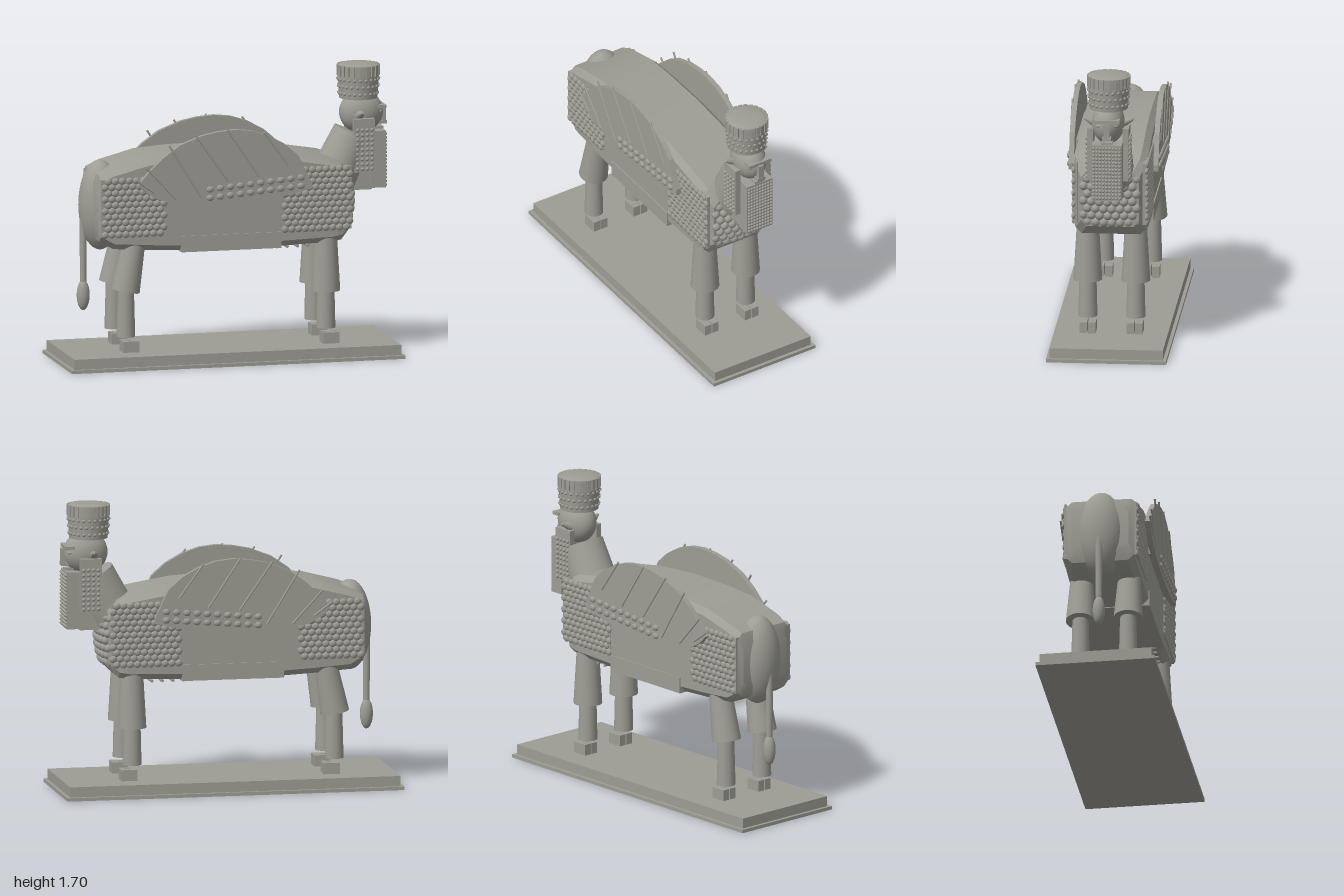
import * as THREE from 'three';
import { mergeGeometries, toCreasedNormals } from 'three/addons/utils/BufferGeometryUtils.js';

export function createModel() {
  const model = new THREE.Group();
  const stone = new THREE.MeshStandardMaterial({ color: 0x9e9d94 });
  stone.name = 'grey stone';

  const add = (name, geo, x = 0, y = 0, z = 0) => {
    const mesh = new THREE.Mesh(geo, stone);
    mesh.name = name;
    mesh.position.set(x, y, z);
    model.add(mesh);
    return mesh;
  };
  // Box given by its limits on each axis
  const block = (name, x0, x1, y0, y1, z0, z1) =>
    add(name, new THREE.BoxGeometry(x1 - x0, y1 - y0, z1 - z0), (x0 + x1) / 2, (y0 + y1) / 2, (z0 + z1) / 2);
  const ball = (name, x, y, z, rx, ry, rz) =>
    add(name, new THREE.SphereGeometry(1, 32, 20).scale(rx, ry, rz), x, y, z);
  // Tapered cylinder between two points
  const rod = (name, a, b, ra, rb, sides = 28) => {
    const p = new THREE.Vector3(...a), q = new THREE.Vector3(...b);
    const d = q.clone().sub(p);
    const mesh = add(name, new THREE.CylinderGeometry(rb, ra, d.length(), sides));
    mesh.position.copy(p).add(q).multiplyScalar(0.5);
    mesh.quaternion.setFromUnitVectors(new THREE.Vector3(0, 1, 0), d.normalize());
    return mesh;
  };
  // Many small flattened balls joined in one mesh
  const beads = (name, points, rx, ry, rz) =>
    add(name, mergeGeometries(points.map((p) =>
      new THREE.SphereGeometry(1, 10, 6).scale(rx, ry, rz).translate(...p))));
  // Staggered rows over a rectangle, mapped to space by place(u, v)
  const rows = (u0, u1, v0, v1, cols, count, place, stagger = true) => {
    const points = [], step = (u1 - u0) / (cols - (stagger ? 0.5 : 1));
    for (let j = 0; j < count; j++) {
      for (let i = 0; i < cols; i++) {
        const shift = stagger && j % 2 ? 0.5 : 0;
        points.push(place(u0 + (i + shift) * step, v0 + (j * (v1 - v0)) / (count - 1)));
      }
    }
    return points;
  };

  // Stepped plinth
  block('plinthFoot', -1, 1, 0, 0.02, -0.35, 0.35);
  block('plinth', -0.98, 0.98, 0.02, 0.08, -0.33, 0.33);

  // Body lofted from chamfered sections: x, half width, bottom, top
  const sections = [
    [-0.81, 0.17, 0.80, 1.07], [-0.79, 0.2, 0.74, 1.13], [-0.71, 0.21, 0.695, 1.165],
    [-0.5, 0.212, 0.68, 1.22], [-0.3, 0.212, 0.67, 1.235], [0, 0.212, 0.67, 1.24],
    [0.3, 0.212, 0.67, 1.22], [0.6, 0.212, 0.68, 1.17], [0.66, 0.205, 0.69, 1.145], [0.72, 0.17, 0.75, 1.08],
  ];
  const verts = [], index = [], ring = 8;
  sections.forEach(([x, w, b, t]) => {
    const c = 0.035;
    [[w, b + c], [w, t - c], [w - c, t], [c - w, t], [-w, t - c], [-w, b + c], [c - w, b], [w - c, b]]
      .forEach(([z, y]) => verts.push(x, y, z));
  });
  for (let s = 0; s < sections.length - 1; s++) {
    for (let i = 0; i < ring; i++) {
      const a = s * ring + i, b = s * ring + ((i + 1) % ring);
      index.push(a, a + ring, b, b, a + ring, b + ring);
    }
  }
  const last = (sections.length - 1) * ring;
  for (let i = 1; i < ring - 1; i++) {
    index.push(0, i, i + 1, last, last + i + 1, last + i);
  }
  const bodyGeo = new THREE.BufferGeometry();
  bodyGeo.setAttribute('position', new THREE.Float32BufferAttribute(verts, 3));
  bodyGeo.setIndex(index);
  add('body', toCreasedNormals(bodyGeo, 0.45));
  block('bellyBand', -0.31, 0.29, 0.665, 0.76, -0.219, 0.219);
  for (let i = 0; i < 4; i++) {
    const x = 0.275 + i * 0.062;
    rod('bellyRib', [x, 0.662, -0.17], [x, 0.662, 0.17], 0.009, 0.009, 8);
  }

  // Rump and tail
  ball('rump', -0.745, 0.93, 0, 0.125, 0.265, 0.14);
  rod('tail', [-0.845, 0.48, 0], [-0.845, 0.9, 0], 0.019, 0.022, 16);
  ball('tailTuft', -0.845, 0.4, 0, 0.038, 0.09, 0.036);

  // Chest curls
  const chest = rows(-0.155, 0.155, 0.775, 1.035, 7, 7,
    (z, y) => [0.748 - 1.2 * (y - 0.92) ** 2 - 1.1 * z * z, y, z]);
  ball('chest', 0.59, 0.91, 0, 0.155, 0.22, 0.2);
  beads('chestCurls', chest, 0.025, 0.026, 0.026);

  // Neck and beard
  rod('neck', [0.655, 1.03, 0], [0.78, 1.285, 0], 0.14, 0.125);
  block('throat', 0.72, 0.87, 0.96, 1.25, -0.075, 0.075);
  block('beard', 0.86, 0.95, 0.97, 1.305, -0.088, 0.088);
  beads('beardCurls', rows(-0.076, 0.076, 0.985, 1.285, 9, 15, (z, y) => [0.951, y, z], false),
    0.009, 0.009, 0.009);

  // Head and face
  ball('head', 0.822, 1.41, 0, 0.13, 0.125, 0.095);
  block('brow', 0.9, 0.955, 1.435, 1.455, -0.075, 0.075);
  block('nose', 0.92, 0.968, 1.345, 1.437, -0.018, 0.018);
  block('noseTip', 0.925, 0.97, 1.335, 1.355, -0.026, 0.026);
  block('mouth', 0.9, 0.95, 1.308, 1.322, -0.033, 0.033);

  // Tall cap with studs and a feathered rim
  const capX = 0.805;
  add('cap', new THREE.CylinderGeometry(0.121, 0.112, 0.13, 36), capX, 1.56, 0);
  add('capRim', new THREE.CylinderGeometry(0.12, 0.118, 0.07, 36), capX, 1.655, 0);
  ball('capTop', capX, 1.687, 0, 0.115, 0.016, 0.115);
  const studs = [], feathers = [];
  [1.525, 1.567, 1.608].forEach((y, j) => {
    for (let i = 0; i < 22; i++) {
      const a = ((i + (j % 2) / 2) / 22) * Math.PI * 2, r = 0.113 + j * 0.003;
      studs.push([capX + Math.cos(a) * r, y, Math.sin(a) * r]);
    }
  });
  for (let i = 0; i < 24; i++) {
    feathers.push(new THREE.BoxGeometry(0.014, 0.062, 0.022).translate(0.119, 1.66, 0)
      .rotateY((i / 24) * Math.PI * 2).translate(capX, 0, 0));
  }
  beads('capStuds', studs, 0.01, 0.01, 0.01);
  add('capFeathers', mergeGeometries(feathers));

  // Wing outline, raised ribs as [top x, top y, bottom x, bottom y]
  const wing = new THREE.Shape([
    [-0.58, 1.08], [-0.53, 1.03], [-0.45, 0.985], [-0.3, 0.96], [-0.1, 0.95], [0.1, 0.957], [0.3, 0.98],
    [0.46, 1.015], [0.46, 1.05], [0.42, 1.13], [0.38, 1.215], [0.3, 1.285], [0.2, 1.34], [0.1, 1.372],
    [0, 1.383], [-0.1, 1.375], [-0.2, 1.355], [-0.33, 1.305], [-0.43, 1.235], [-0.52, 1.15],
  ].map(([x, y]) => new THREE.Vector2(x, y)));
  const ribs = [
    [-0.59, 1.11, -0.48, 1.03], [-0.53, 1.18, -0.355, 0.99], [-0.395, 1.305, -0.2, 0.99],
    [-0.235, 1.36, -0.04, 1.08], [-0.045, 1.385, 0.145, 1.10], [0.175, 1.36, 0.32, 1.16],
  ];

  for (const s of [1, -1]) {
    const side = s > 0 ? 'left' : 'right';
    // Limits on z flip with the side
    const slab = (name, x0, x1, y0, y1, z0, z1) =>
      block(side + name, x0, x1, y0, y1, Math.min(s * z0, s * z1), Math.max(s * z0, s * z1));

    // Wing
    add(side + 'Wing', new THREE.ExtrudeGeometry(wing, { depth: 0.03, bevelEnabled: false }),
      0, 0, s > 0 ? 0.232 : -0.262);
    slab('WingRoot', -0.3, 0.3, 1.0, 1.15, 0.2, 0.235);
    ribs.forEach(([x0, y0, x1, y1]) =>
      rod(side + 'WingRib', [x0, y0, s * 0.262], [x1, y1, s * 0.262], 0.006, 0.006, 8));
    const feathersSmall = rows(-0.15, 0.395, 0, 0.05, 10, 2,
      (x, y) => [x, 0.988 + y + (x + 0.15) * 0.085, s * 0.264], false);
    beads(side + 'WingCurls', feathersSmall, 0.023, 0.019, 0.013);

    // Curled hide on shoulder and haunch
    slab('ShoulderPlate', 0.3, 0.71, 0.76, 1.13, 0.19, 0.213);
    slab('HaunchPlate', -0.79, -0.41, 0.77, 1.11, 0.19, 0.213);
    beads(side + 'ShoulderCurls', rows(0.312, 0.7, 0.772, 1.118, 10, 11, (x, y) => [x, y, s * 0.213]),
      0.022, 0.021, 0.013);
    beads(side + 'HaunchCurls', rows(-0.768, -0.415, 0.785, 1.1, 9, 10, (x, y) => [x, y, s * 0.213]),
      0.022, 0.021, 0.013);

    // Side hair, eyes and ears
    slab('Hair', 0.75, 0.875, 1.07, 1.385, 0.085, 0.122);
    beads(side + 'HairCurls', rows(0.77, 0.857, 1.09, 1.32, 4, 9, (x, y) => [x, y, s * 0.123], false),
      0.011, 0.011, 0.011);
    ball(side + 'Eye', 0.922, 1.415, s * 0.042, 0.016, 0.011, 0.022);
    rod(side + 'Ear', [0.79, 1.4, s * 0.08], [0.8, 1.425, s * 0.142], 0.028, 0.008, 16);

    // Legs with sleeves and paired toes
    const z = s * 0.14;
    rod(side + 'FrontThigh', [0.575, 0.39, z], [0.575, 0.72, z], 0.084, 0.065);
    rod(side + 'FrontShin', [0.575, 0.17, z], [0.575, 0.42, z], 0.056, 0.05);
    rod(side + 'HindThigh', [-0.628, 0.44, z], [-0.573, 0.74, z], 0.085, 0.065);
    rod(side + 'HindShin', [-0.625, 0.17, z], [-0.625, 0.5, z], 0.055, 0.046);
    for (const x of [0.55, -0.65]) {
      slab('InnerToe', x, x + 0.095, 0.08, 0.145, 0.09, 0.134);
      slab('OuterToe', x, x + 0.095, 0.08, 0.145, 0.14, 0.184);
    }
  }
  return model;
}
